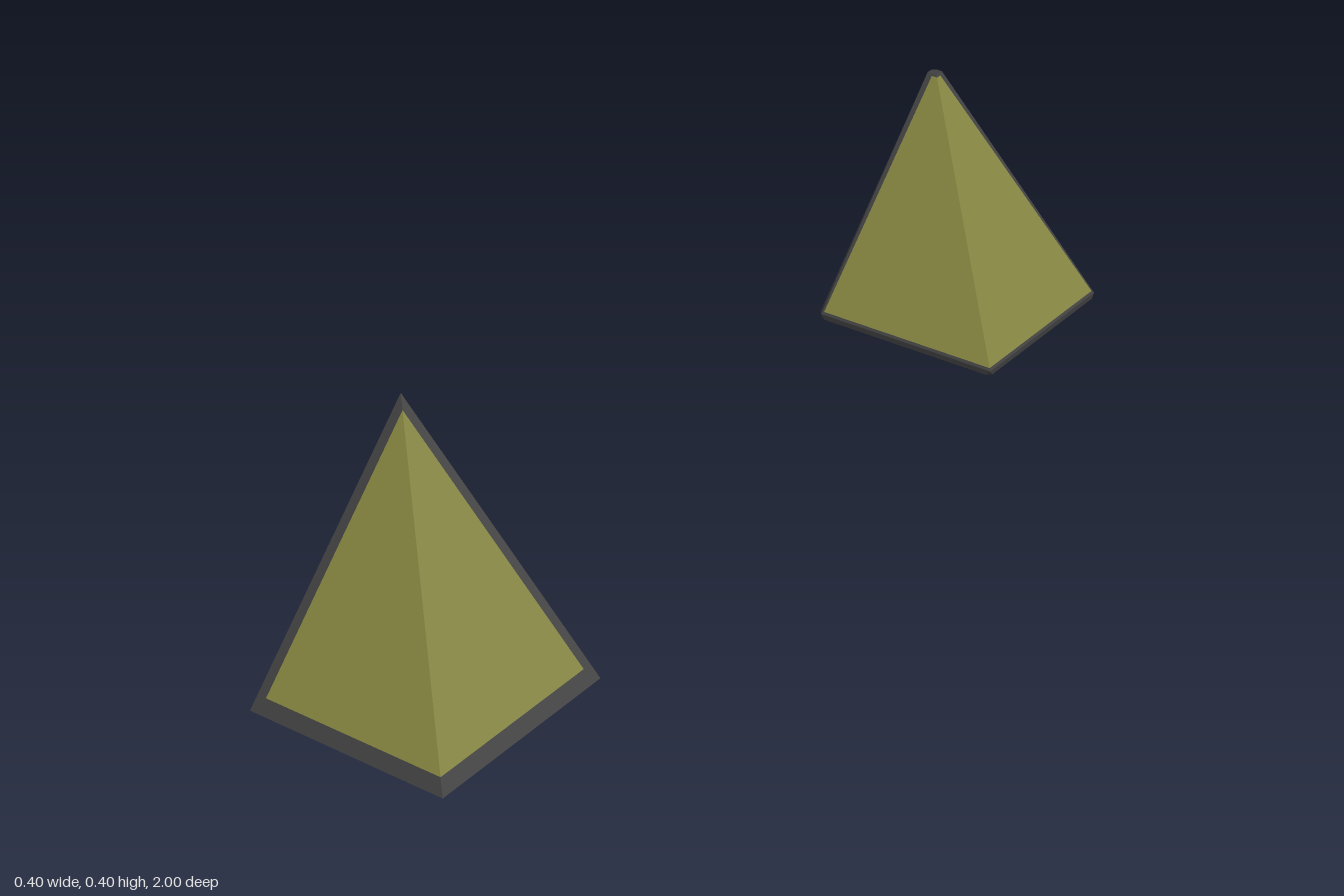
import * as THREE from 'three';
import { ConvexGeometry } from 'three/addons/geometries/ConvexGeometry.js';

const S = 0.4; // edge length of the corner pyramid
const olive = new THREE.MeshStandardMaterial({ color: 0x80803e });
olive.name = 'olive';
const charcoal = new THREE.MeshStandardMaterial({ color: 0x3e3e3e });
charcoal.name = 'charcoal';

// Convex solid from corner points
function solid(points) {
  return new ConvexGeometry(points.map((p) => new THREE.Vector3(...p)));
}

// Flat convex face as a triangle fan, anticlockwise from outside
function face(points) {
  const pos = [];
  for (let i = 1; i < points.length - 1; i++) pos.push(...points[0], ...points[i], ...points[i + 1]);
  const g = new THREE.BufferGeometry();
  g.setAttribute('position', new THREE.Float32BufferAttribute(pos, 3));
  g.computeVertexNormals();
  return g;
}

// Pyramid with its upright edge at the origin, and panels on both slopes and the base
function cornerPyramid(name, bodyGeometry, inset, lip, tip, base) {
  const group = new THREE.Group();
  group.name = name;
  const add = (geometry, material, part) => {
    const mesh = new THREE.Mesh(geometry, material);
    mesh.name = part;
    group.add(mesh);
    return mesh;
  };
  add(bodyGeometry, charcoal, 'frame');

  // Sloping panels, mirrored across the ridge
  const outline = [[inset, lip], [S - lip, lip], [tip, S - tip]];
  if (tip > inset) outline.push([inset, S - tip]);
  const front = outline.map(([u, y]) => [u, y, S - y]);
  const side = front.map(([x, y, z]) => [z, y, x]).reverse();
  add(face(front), olive, 'frontPanel').position.setScalar(0.0008);
  add(face(side), olive, 'sidePanel').position.setScalar(0.0008);

  // Panel under the base
  const [x0, x1, z0, z1] = base;
  const bottom = add(new THREE.PlaneGeometry(x1 - x0, z1 - z0).rotateX(Math.PI / 2), olive, 'basePanel');
  bottom.position.set((x0 + x1) / 2, -0.0008, (z0 + z1) / 2);
  return group;
}

export function createModel() {
  const model = new THREE.Group();
  model.name = 'cornerPyramids';

  // Front pyramid with sharp edges
  const sharp = solid([[0, 0, 0], [S, 0, 0], [0, 0, S], [S, 0, S], [0, S, 0]]);
  const frontPyramid = cornerPyramid('frontPyramid', sharp, 0.018, 0.02, 0.018, [0.02, 0.38, 0.02, 0.38]);
  frontPyramid.position.set(-0.2, 0, 0.6);
  model.add(frontPyramid);

  // Rear pyramid with trimmed tip and bevelled edges, symmetric across the ridge
  const half = [
    [0.007, 0.38, 0], [0.02, 0.38, 0],
    [0.007, 0.01, 0], [0.38, 0.01, 0], [0.39, 0.01, 0.008],
    [0.012, 0, 0.006], [0.378, 0, 0.006], [0.39, 0, 0.015],
    [0.39, 0, 0.382], [0.39, 0.01, 0.39],
  ];
  const bevelled = solid([...half, ...half.map(([x, y, z]) => [z, y, x]), [0.02, 0.38, 0.02]]);
  const rearPyramid = cornerPyramid('rearPyramid', bevelled, 0.012, 0.014, 0.024, [0.008, 0.386, 0.008, 0.386]);
  rearPyramid.position.set(-0.2, 0, -1);
  model.add(rearPyramid);

  return model;
}
